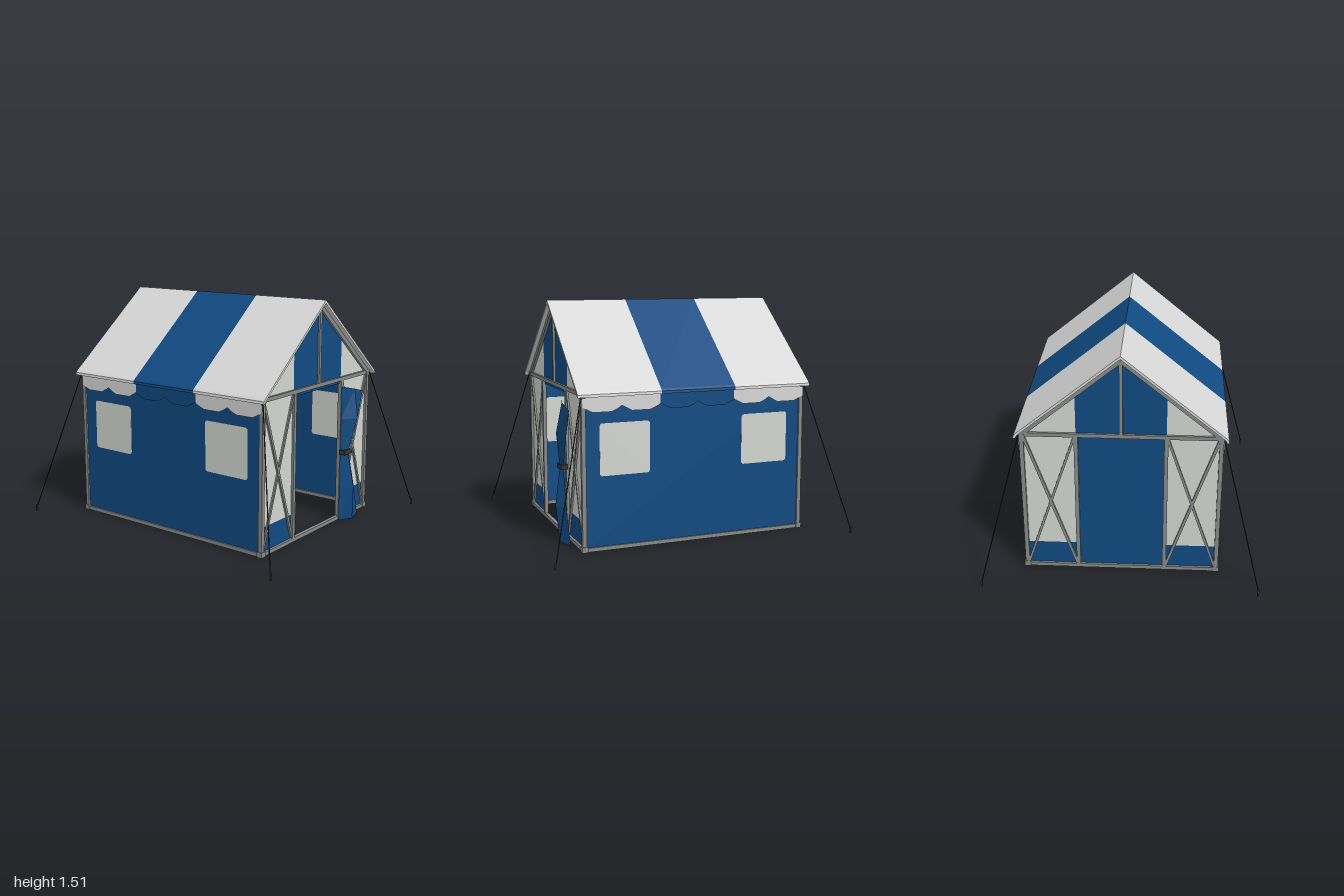
import * as THREE from 'three';

const mat = (name, color, side = THREE.FrontSide) => {
  const m = new THREE.MeshStandardMaterial({ color, side });
  m.name = name;
  return m;
};

export function createModel() {
  const root = new THREE.Group();
  root.name = 'aidTent';
  const blue = mat('blue canvas', 0x104a82, THREE.DoubleSide);
  const panelGrey = mat('pale panel', 0xd3d6d0, THREE.DoubleSide);
  const roofGrey = mat('roof canvas', 0xd8d8d8, THREE.DoubleSide);
  const metal = mat('frame metal', 0x868a89);
  const black = mat('rope black', 0x1c1e1f);
  const strap = mat('strap dark', 0x34352f);
  const red = mat('box red', 0xb83a30);
  const tableRed = mat('table top', 0x9c412c);
  const white = mat('cross white', 0xf4f4f4);

  const add = (name, geo, material, parent = root) => {
    const m = new THREE.Mesh(geo, material);
    m.name = name;
    parent.add(m);
    return m;
  };
  // box given by its minimum and maximum corners
  const box = (name, a, b, material, parent = root) => {
    const m = add(name, new THREE.BoxGeometry(b[0] - a[0], b[1] - a[1], b[2] - a[2]), material, parent);
    m.position.set((a[0] + b[0]) / 2, (a[1] + b[1]) / 2, (a[2] + b[2]) / 2);
    return m;
  };
  // straight bar between two points, square or round
  const bar = (name, a, b, w, material, parent = root, round = false) => {
    const p = new THREE.Vector3(...a), q = new THREE.Vector3(...b), len = p.distanceTo(q);
    const geo = round ? new THREE.CylinderGeometry(w / 2, w / 2, len, 8) : new THREE.BoxGeometry(w, len, w);
    const m = add(name, geo, material, parent);
    m.position.copy(p).add(q).multiplyScalar(0.5);
    m.quaternion.setFromUnitVectors(new THREE.Vector3(0, 1, 0), q.sub(p).normalize());
    return m;
  };
  const poly = (pts) => new THREE.Shape(pts.map(([x, y]) => new THREE.Vector2(x, y)));
  // thin canvas sheet lying in an x-y plane
  const sheet = (name, pts, z, material, parent) => {
    const m = add(name, new THREE.ExtrudeGeometry(poly(pts), { depth: 0.006, bevelEnabled: false }), material, parent);
    m.position.z = z - 0.003;
  };

  const X = 0.61, Z = 0.742, EAVE = 0.967, RIDGE = 1.465;
  const gableY = (x) => RIDGE - (RIDGE - EAVE) * Math.abs(x) / X;

  // front and back ends: frame, braces and canvas
  for (const s of [1, -1]) {
    const end = new THREE.Group();
    end.name = s > 0 ? 'frontEnd' : 'backEnd';
    root.add(end);
    const z = s * Z, zc = s * (Z - 0.006);
    bar('headerBeam', [-0.62, EAVE, z], [0.62, EAVE, z], 0.025, metal, end);
    bar('baseBeam', [-0.62, 0.0125, z], [0.62, 0.0125, z], 0.025, metal, end);
    bar('kingPost', [0, EAVE, z], [0, RIDGE + 0.01, z], 0.022, metal, end);
    for (const k of [1, -1]) {
      bar('cornerPost', [k * X, 0, z], [k * X, EAVE, z], 0.027, metal, end);
      bar('doorPost', [k * 0.276, 0.01, z], [k * 0.276, EAVE, z], 0.025, metal, end);
      bar('rafter', [k * 0.63, gableY(0.63), z], [0, RIDGE, z], 0.028, metal, end);
      bar('crossBrace', [k * 0.285, 0.03, z], [k * 0.6, 0.955, z], 0.018, metal, end);
      bar('crossBrace', [k * 0.6, 0.03, z], [k * 0.285, 0.955, z], 0.016, metal, end);
      box('cornerFoot', [k * 0.61 - 0.02, 0, z - 0.018], [k * 0.61 + 0.02, 0.034, z + 0.018], metal, end);
      box('cornerCap', [k * 0.61 - 0.017, 0.955, z - 0.016], [k * 0.61 + 0.017, 0.985, z + 0.016], metal, end);
      sheet('sidePanel', [[k * 0.276, 0.18], [k * 0.6, 0.18], [k * 0.6, EAVE], [k * 0.276, EAVE]], zc, panelGrey, end);
      sheet('skirtPanel', [[k * 0.276, 0.01], [k * 0.6, 0.01], [k * 0.6, 0.18], [k * 0.276, 0.18]], zc, blue, end);
      sheet('gablePanel', [[k * 0.277, EAVE], [k * X, EAVE], [k * 0.277, gableY(0.277)]], zc, panelGrey, end);
    }
    sheet('gableCentre', [[-0.277, EAVE], [0.277, EAVE], [0.277, gableY(0.277)], [0, RIDGE], [-0.277, gableY(0.277)]], zc, blue, end);
    const low = s > 0 ? 0.935 : 0.01;
    sheet(s > 0 ? 'doorHeader' : 'backDoor', [[-0.27, low], [0.27, low], [0.27, EAVE], [-0.27, EAVE]], zc, blue, end);
  }
  bar('ridgeBeam', [0, RIDGE, -Z], [0, RIDGE, Z], 0.025, metal);

  // scalloped lower edge of the valance between two z positions
  const valance = (z0, z1) => {
    const pts = [[z0, 0.965], [z0, 0.89]];
    for (let z = z0; z < z1 - 0.01; z += 0.25)
      pts.push([z + 0.03, 0.875], [z + 0.065, 0.86], [z + 0.185, 0.86], [z + 0.22, 0.878], [z + 0.25, 0.895]);
    pts.push([z1, 0.965]);
    return new THREE.ShapeGeometry(poly(pts));
  };
  const strips = [[-0.785, -0.25, roofGrey], [-0.25, 0.25, blue], [0.25, 0.785, roofGrey]];

  // long sides: walls, windows, beams and valances
  const win = new THREE.Shape();
  const w = 0.1625, r = 0.018;
  win.moveTo(-w + r, -w);
  for (const [cx, cy, a] of [[1, -1, -0.5], [1, 1, 0], [-1, 1, 0.5], [-1, -1, 1]])
    win.absarc(cx * (w - r), cy * (w - r), r, a * Math.PI, (a + 0.5) * Math.PI);
  const winGeo = new THREE.ExtrudeGeometry(win, { depth: 0.009, bevelEnabled: false, curveSegments: 4 });
  for (const k of [1, -1]) {
    const side = new THREE.Group();
    side.name = k > 0 ? 'leftSide' : 'rightSide';
    root.add(side);
    box('sideWall', [k * X - 0.003, 0.015, -0.735], [k * X + 0.003, EAVE, 0.735], blue, side);
    bar('sideBaseBeam', [k * X, 0.0125, -Z], [k * X, 0.0125, Z], 0.025, metal, side);
    bar('eaveBeam', [k * X, EAVE, -Z], [k * X, EAVE, Z], 0.025, metal, side);
    for (const z of [-0.477, 0.477]) {
      const m = add('window', winGeo, panelGrey, side);
      m.rotation.y = Math.PI / 2;
      m.position.set(k * X - 0.0045, 0.627, z);
    }
    for (const [z0, z1, material] of strips) {
      const m = add('valance', valance(Math.max(z0, -0.75), Math.min(z1, 0.75)), material, side);
      m.rotation.y = -Math.PI / 2;
      m.position.x = k * 0.629;
    }
    // guy ropes and stakes
    for (const s of [1, -1]) {
      bar('guyRope', [k * 0.625, 0.965, s * 0.757], [k * 0.868, 0.03, s * 0.992], 0.007, black, side, true);
      bar('stake', [k * 0.868, 0, s * 0.994], [k * 0.868, 0.042, s * 0.994], 0.011, strap, side);
    }
  }

  // roof in three bands with a turned-down eave
  const outer = [[0.654, 0.955], [0.652, 0.972], [0.64, 0.985], [0, 1.507]];
  const inner = [[0, 1.487], [0.63, 0.974], [0.64, 0.955]];
  const flip = (a) => a.map(([x, y]) => [-x, y]).reverse();
  const profile = poly([...outer, ...flip(outer).slice(1), ...flip(inner), ...inner.slice(1)]);
  for (const [z0, z1, material] of strips) {
    const m = add('roofBand', new THREE.ExtrudeGeometry(profile, { depth: z1 - z0, bevelEnabled: false }), material);
    m.position.z = z0;
  }

  // tied-back door flap, built from folded rows
  const rows = [
    [[0.25, 0.92, 0.765], [0.36, 0.893, 0.8], [0.485, 0.86, 0.79]],
    [[0.25, 0.7, 0.765], [0.345, 0.7, 0.835], [0.415, 0.69, 0.79]],
    [[0.25, 0.475, 0.765], [0.295, 0.475, 0.8], [0.325, 0.475, 0.785]],
    [[0.25, 0.23, 0.765], [0.315, 0.23, 0.838], [0.395, 0.23, 0.79]],
    [[0.25, 0, 0.765], [0.34, 0, 0.82], [0.465, 0, 0.785]],
  ];
  const tri = [];
  for (let i = 0; i < rows.length - 1; i++)
    for (let j = 0; j < 2; j++) {
      const a = rows[i][j], b = rows[i][j + 1], c = rows[i + 1][j], d = rows[i + 1][j + 1];
      tri.push(...a, ...c, ...b, ...b, ...c, ...d);
    }
  const flap = new THREE.BufferGeometry();
  flap.setAttribute('position', new THREE.Float32BufferAttribute(tri, 3));
  flap.computeVertexNormals();
  add('doorFlap', flap, blue);
  box('flapTie', [0.248, 0.46, 0.757], [0.332, 0.49, 0.804], strap);

  // long table against the right wall
  const table = new THREE.Group();
  table.name = 'table';
  root.add(table);
  box('tableTop', [-0.37, 0.337, -0.55], [-0.08, 0.37, 0.37], tableRed, table);
  for (const x of [-0.345, -0.102]) {
    for (const z of [-0.52, 0.345]) bar('tableLeg', [x, 0, z], [x, 0.34, z], 0.02, metal, table, true);
    bar('tableStretcher', [x, 0.09, -0.52], [x, 0.09, 0.345], 0.015, metal, table, true);
  }

  // first aid box with a handle and a stepped cross
  const kit = new THREE.Group();
  kit.name = 'aidBox';
  root.add(kit);
  box('boxBody', [-0.215, 0.005, 0.465], [0.01, 0.135, 0.58], red, kit);
  box('boxLid', [-0.218, 0.135, 0.462], [0.013, 0.149, 0.583], red, kit);
  box('boxHandle', [-0.155, 0.155, 0.514], [-0.05, 0.164, 0.53], strap, kit);
  for (const x of [-0.15, -0.063]) box('handleFoot', [x, 0.147, 0.514], [x + 0.009, 0.157, 0.53], strap, kit);
  for (const [hw, hh] of [[0.043, 0.015], [0.029, 0.029], [0.015, 0.043]])
    box('crossMark', [-0.1025 - hw, 0.07 - hh, 0.579], [-0.1025 + hw, 0.07 + hh, 0.584 + hw * 0.01], white, kit);

  return root;
}
